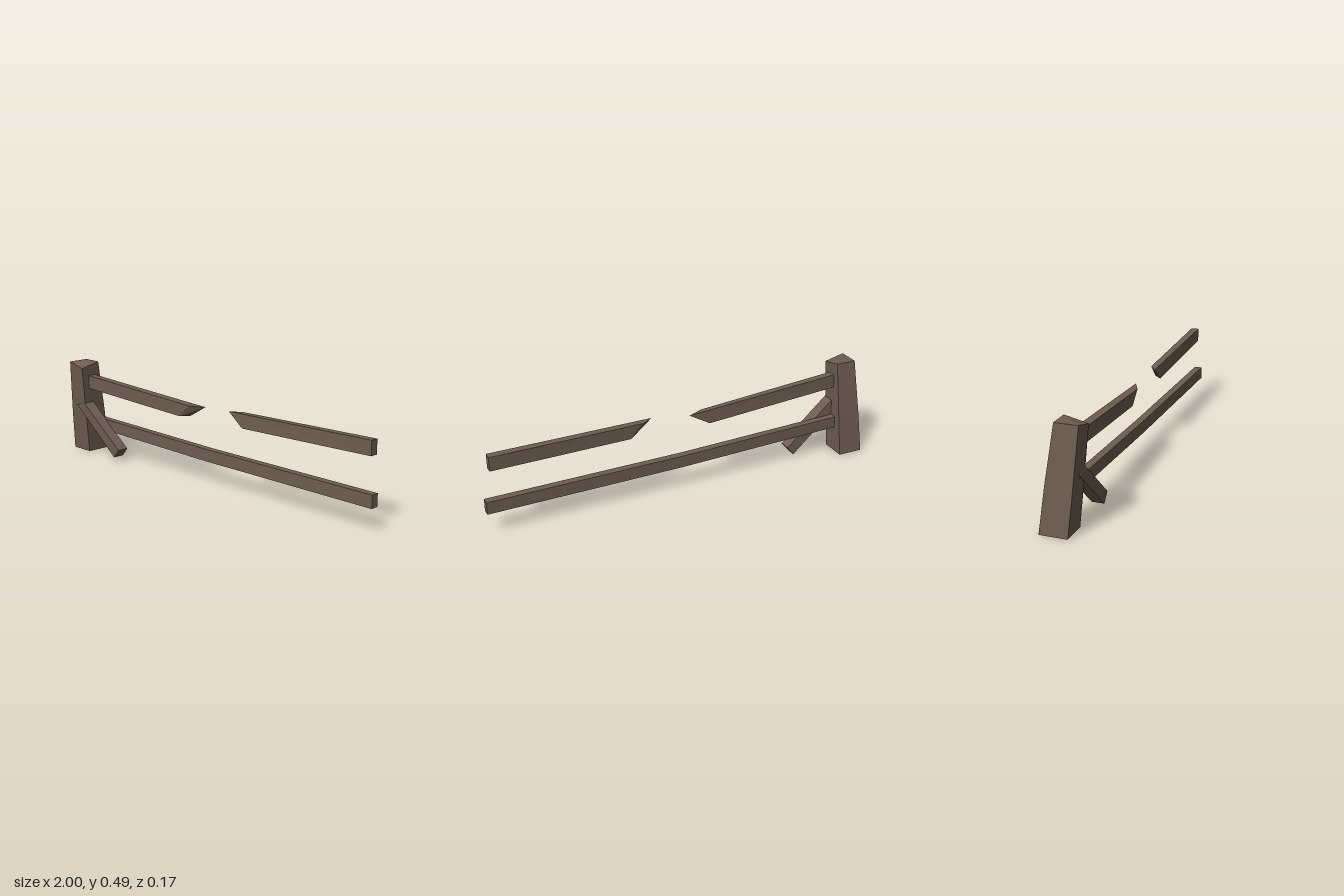
import * as THREE from 'three';

// Lofts a beam through four-cornered rings; corners run counter-clockwise seen from the far end.
function loft(rings) {
  const pos = [];
  const quad = (a, b, c, d) => pos.push(...a, ...b, ...c, ...a, ...c, ...d);
  for (let r = 0; r < rings.length - 1; r++) {
    const a = rings[r], b = rings[r + 1];
    for (let i = 0; i < 4; i++) {
      const j = (i + 1) % 4;
      quad(a[i], a[j], b[j], b[i]);
    }
  }
  const s = rings[0], e = rings[rings.length - 1];
  quad(s[3], s[2], s[1], s[0]);
  quad(e[0], e[1], e[2], e[3]);
  const geo = new THREE.BufferGeometry();
  geo.setAttribute('position', new THREE.Float32BufferAttribute(pos, 3));
  geo.computeVertexNormals();
  return geo;
}

// Ring across a beam running along x; xs gives each corner's x, so ends can be cut on a slant.
// Corner order: front bottom, back bottom, back top, front top.
function section(xs, yBottom, yTop, zFront, zBack) {
  const [a, b, c, d] = Array.isArray(xs) ? xs : [xs, xs, xs, xs];
  return [[a, yBottom, zFront], [b, yBottom, zBack], [c, yTop, zBack], [d, yTop, zFront]];
}

// Ring across the upright post.
function level(y, xLeft, xRight, zFront, zBack) {
  return [[xLeft, y, zFront], [xRight, y, zFront], [xRight, y, zBack], [xLeft, y, zBack]];
}

export function createModel() {
  const model = new THREE.Group();
  model.name = 'brokenFence';
  const wood = new THREE.MeshStandardMaterial({ color: 0x6f5d50, flatShading: true });
  wood.name = 'weathered wood';

  const add = (name, rings) => {
    const mesh = new THREE.Mesh(loft(rings), wood);
    mesh.name = name;
    model.add(mesh);
  };

  // Leaning post with one chipped top corner
  const postTop = level(0.49, -0.965, -0.862, 0.088, -0.022);
  postTop[1][1] = 0.465;
  add('post', [
    level(0, -1, -0.872, 0.045, -0.087),
    level(0.21, -0.986, -0.866, 0.065, -0.062),
    postTop,
  ]);

  // Unbroken lower rail, slightly bent in the middle
  add('lowerRail', [
    section(-0.92, 0.135, 0.195, 0.014, -0.024),
    section(0, 0.112, 0.173, 0, -0.038),
    section(1, 0.106, 0.168, -0.012, -0.051),
  ]);

  // Upper rail, snapped into two pieces with slanted breaks
  add('upperRailLeft', [
    section(-0.92, 0.355, 0.425, 0.046, 0.004),
    section([-0.175, -0.14, -0.03, -0.11], 0.312, 0.376, 0.015, -0.023),
  ]);
  add('upperRailRight', [
    section([0.245, 0.28, 0.215, 0.158], 0.324, 0.392, 0.004, -0.034),
    section(0.975, 0.331, 0.401, -0.027, -0.066),
  ]);

  // Diagonal brace resting against the front of the post
  const slanted = (bottom, top, zFront, zBack) => [
    [...bottom, zFront], [...bottom, zBack], [...top, zBack], [...top, zFront],
  ];
  add('brace', [
    slanted([-0.93, 0.258], [-0.868, 0.276], 0.076, 0.014),
    slanted([-0.642, 0.014], [-0.605, 0.059], 0.06, 0),
  ]);

  return model;
}
